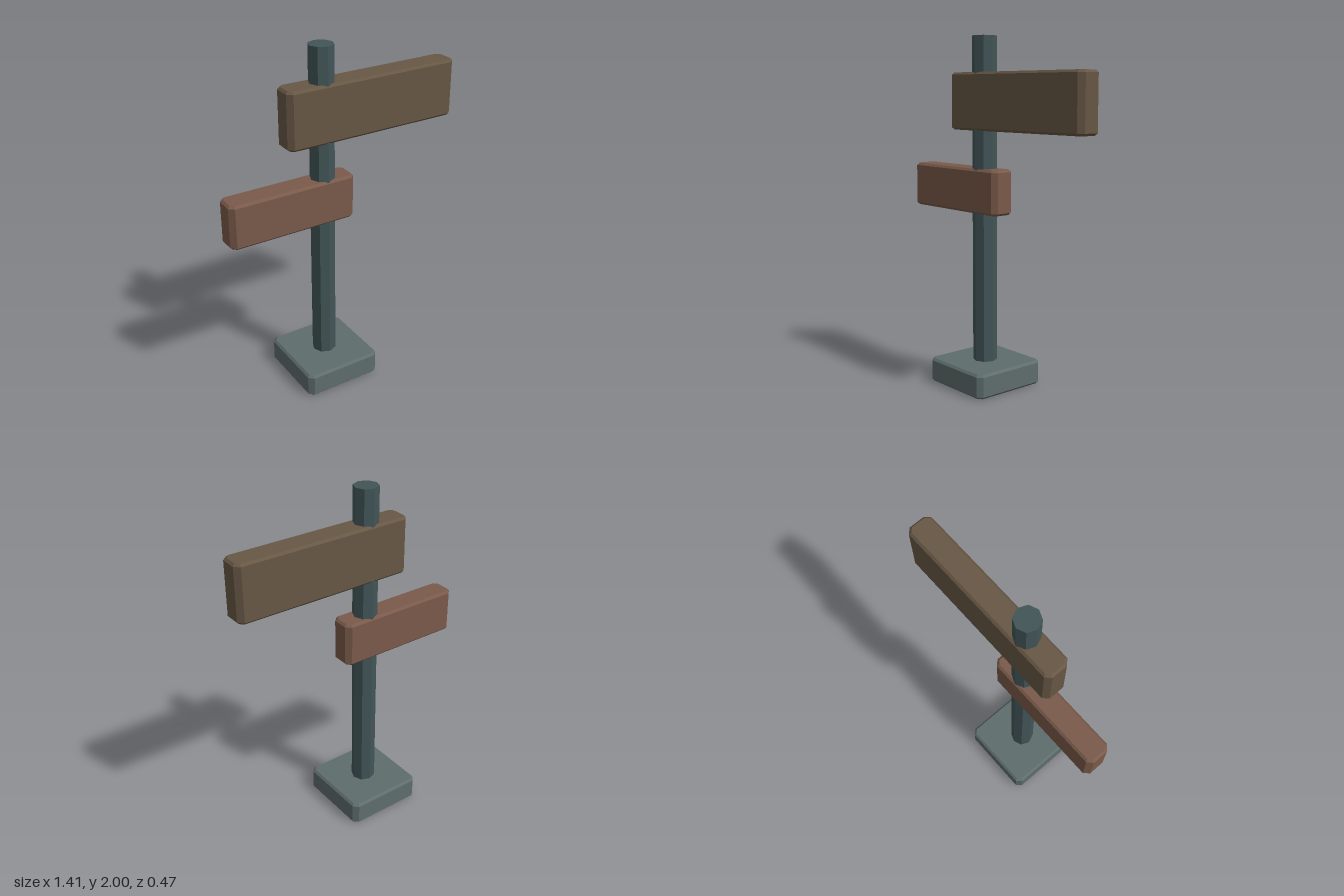
import * as THREE from 'three';

const POLE_X = -0.117;

// Box with wide chamfers on its upright edges and a thin bevel around top and bottom
function chamferedBox(name, color, x0, x1, y0, y1, depth) {
  const w = (x1 - x0) / 2, d = depth / 2, c = 0.028, bevel = 0.013;
  const outline = new THREE.Shape([
    [w, -d + c], [w, d - c], [w - c, d], [-w + c, d],
    [-w, d - c], [-w, -d + c], [-w + c, -d], [w - c, -d],
  ].map(([x, z]) => new THREE.Vector2(x, z)));
  const geometry = new THREE.ExtrudeGeometry(outline, {
    depth: y1 - y0 - 2 * bevel,
    bevelEnabled: true, bevelSegments: 1,
    bevelSize: bevel, bevelThickness: bevel, bevelOffset: -bevel,
  });
  geometry.rotateX(-Math.PI / 2);
  geometry.translate((x0 + x1) / 2, y0 + bevel, 0);
  return part(name, geometry, color);
}

function part(name, geometry, color) {
  const mesh = new THREE.Mesh(geometry, new THREE.MeshStandardMaterial({ color, flatShading: true }));
  mesh.name = name;
  return mesh;
}

export function createModel() {
  const signpost = new THREE.Group();
  signpost.name = 'signpost';

  // Square foot
  signpost.add(chamferedBox('base', 0x5f6d6d, POLE_X - 0.233, POLE_X + 0.233, 0, 0.14, 0.466));

  // Eight-sided pole, standing in the foot
  const pole = new THREE.CylinderGeometry(0.07, 0.07, 1.93, 8);
  pole.translate(POLE_X, 2 - 1.93 / 2, 0);
  signpost.add(part('pole', pole, 0x425557));

  // Two boards pointing opposite ways
  signpost.add(chamferedBox('upperBoard', 0x675745, -0.35, 0.705, 1.475, 1.8, 0.147));
  signpost.add(chamferedBox('lowerBoard', 0x7a5a4a, -0.705, 0.052, 1.005, 1.26, 0.147));

  return signpost;
}
